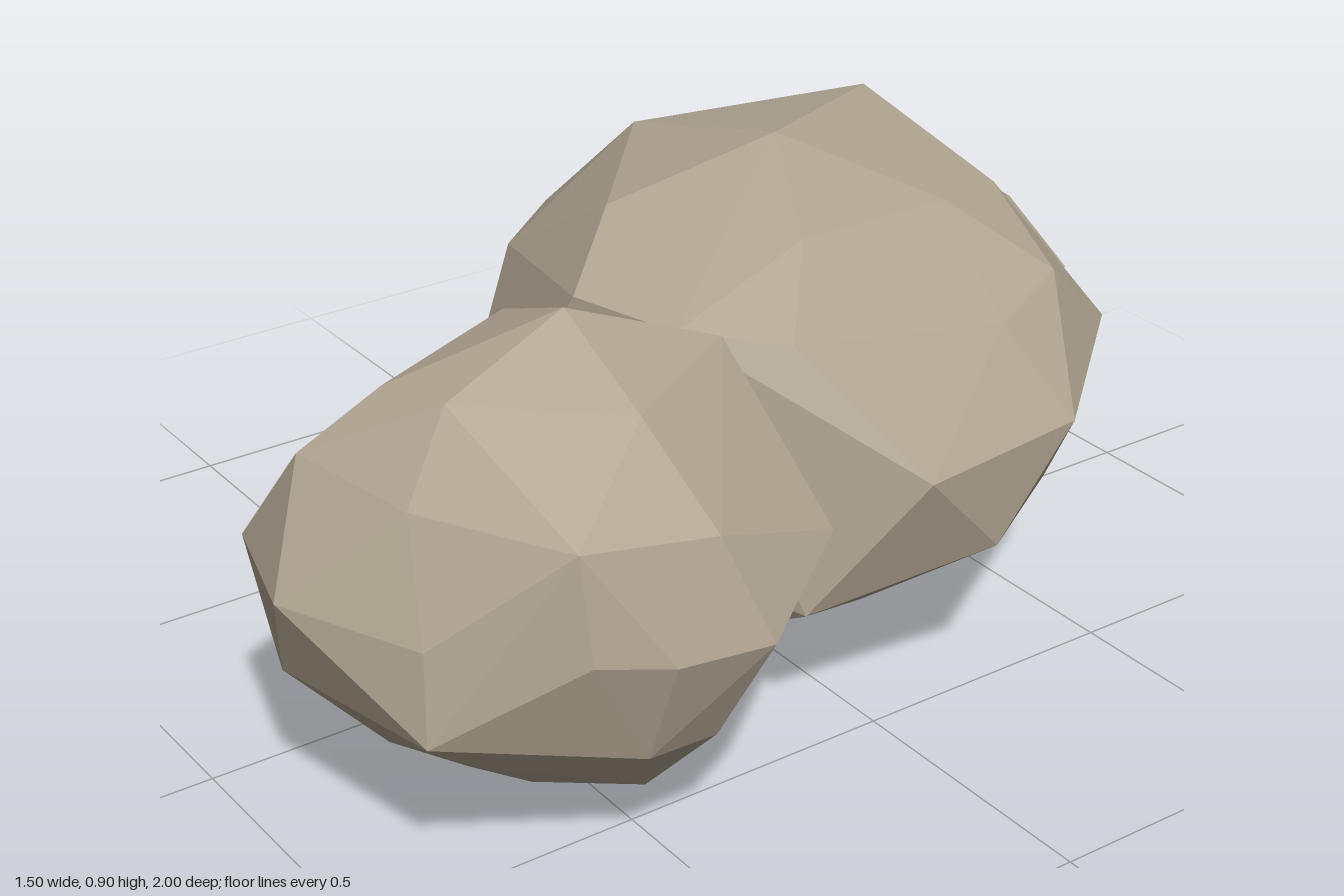
import * as THREE from 'three';
import { ConvexGeometry } from 'three/addons/geometries/ConvexGeometry.js';
import { mergeVertices } from 'three/addons/utils/BufferGeometryUtils.js';

const stone = new THREE.MeshStandardMaterial({ color: 0xb0a491 });
stone.name = 'stone';

// A faceted boulder: an icosphere stretched to an ellipsoid, with the vertex
// nearest to each given corner pulled onto it, then wrapped in a convex hull.
function boulder(name, center, radii, corners) {
  const ball = new THREE.IcosahedronGeometry(1, 1);
  ball.deleteAttribute('normal');
  ball.deleteAttribute('uv');
  const pos = mergeVertices(ball, 1e-3).getAttribute('position');
  const c = new THREE.Vector3(...center);
  const r = new THREE.Vector3(...radii);
  const points = [];
  for (let i = 0; i < pos.count; i++) {
    points.push(new THREE.Vector3().fromBufferAttribute(pos, i).multiply(r).add(c));
  }
  const used = new Set();
  for (const corner of corners) {
    const target = new THREE.Vector3(...corner);
    let best = -1;
    points.forEach((p, i) => {
      if (used.has(i)) return;
      if (best < 0 || p.distanceTo(target) < points[best].distanceTo(target)) best = i;
    });
    used.add(best);
    points[best].copy(target);
  }
  const mesh = new THREE.Mesh(new ConvexGeometry(points), stone);
  mesh.name = name;
  return mesh;
}

export function createModel() {
  const group = new THREE.Group();
  group.name = 'boulderCluster';

  // Large middle boulder: crown, shoulders, waist, underside
  group.add(boulder('largeBoulder', [0.01, 0.45, -0.13], [0.55, 0.41, 0.52], [
    [0.03, 0.9, -0.13], [-0.3, 0.83, -0.06], [-0.13, 0.87, -0.45], [0.25, 0.8, -0.33],
    [0, 0.835, 0.2], [0.28, 0.82, 0],
    [0.14, 0.76, 0.36], [0.33, 0.75, 0.29], [0.43, 0.72, 0.13], [0.38, 0.68, -0.47],
    [0.18, 0.77, -0.5], [-0.28, 0.69, -0.64], [-0.51, 0.62, 0], [-0.32, 0.65, 0.2],
    [-0.46, 0.67, -0.3],
    [-0.62, 0.41, -0.26], [-0.47, 0.43, 0.13], [-0.21, 0.44, 0.36], [-0.03, 0.42, 0.44],
    [0.61, 0.5, -0.02], [0.57, 0.5, -0.36], [0.33, 0.53, -0.64], [-0.02, 0.5, -0.71],
    [0.3, 0.22, -0.55], [-0.05, 0.2, -0.65], [0.58, 0.32, -0.19], [0.5, 0.26, 0.15],
    [-0.28, 0.25, 0.26], [-0.45, 0.18, 0], [-0.17, 0.06, 0.19], [0.18, 0.08, 0.2],
    [0.05, 0.13, -0.56], [-0.23, 0, -0.3], [0.1, 0.01, -0.12],
  ]));

  // Medium boulder at the front left
  group.add(boulder('frontBoulder', [0.35, 0.43, 0.57], [0.385, 0.4, 0.4], [
    [0.28, 0.47, 1], [0.04, 0.46, 0.93], [0.52, 0.46, 0.88], [0.69, 0.45, 0.69],
    [0.69, 0.6, 0.46], [0.75, 0.42, 0.4], [0.63, 0.5, 0.2],
    [-0.06, 0.43, 0.67], [-0.05, 0.43, 0.43],
    [0.33, 0.85, 0.5], [0.37, 0.77, 0.74], [0.54, 0.75, 0.5], [0.15, 0.78, 0.5], [0.4, 0.76, 0.25],
    [0.19, 0.66, 0.9], [0.42, 0.64, 0.84], [0.19, 0.29, 0.95], [0.38, 0.29, 0.91],
    [0.25, 0.13, 0.8], [0.5, 0.22, 0.8], [0.34, 0.02, 0.59],
    [0.54, 0.09, 0.5], [0.67, 0.24, 0.58], [0.12, 0.09, 0.6], [0.3, 0.06, 0.34],
  ]));

  // Small boulder at the back right
  group.add(boulder('backBoulder', [-0.39, 0.36, -0.71], [0.345, 0.22, 0.27], [
    [-0.75, 0.33, -0.69], [-0.71, 0.31, -0.89], [-0.46, 0.43, -1], [-0.24, 0.36, -1],
    [-0.08, 0.4, -0.93], [-0.02, 0.37, -0.77], [-0.7, 0.47, -0.52], [-0.53, 0.3, -0.42],
    [-0.38, 0.59, -0.7], [-0.18, 0.56, -0.78], [-0.58, 0.56, -0.58],
    [-0.45, 0.53, -0.9], [-0.22, 0.51, -0.9],
    [-0.67, 0.2, -0.71], [-0.5, 0.22, -0.87], [-0.37, 0.2, -0.95],
    [-0.56, 0.13, -0.66], [-0.39, 0.13, -0.64], [-0.3, 0.15, -0.8],
  ]));

  return group;
}
